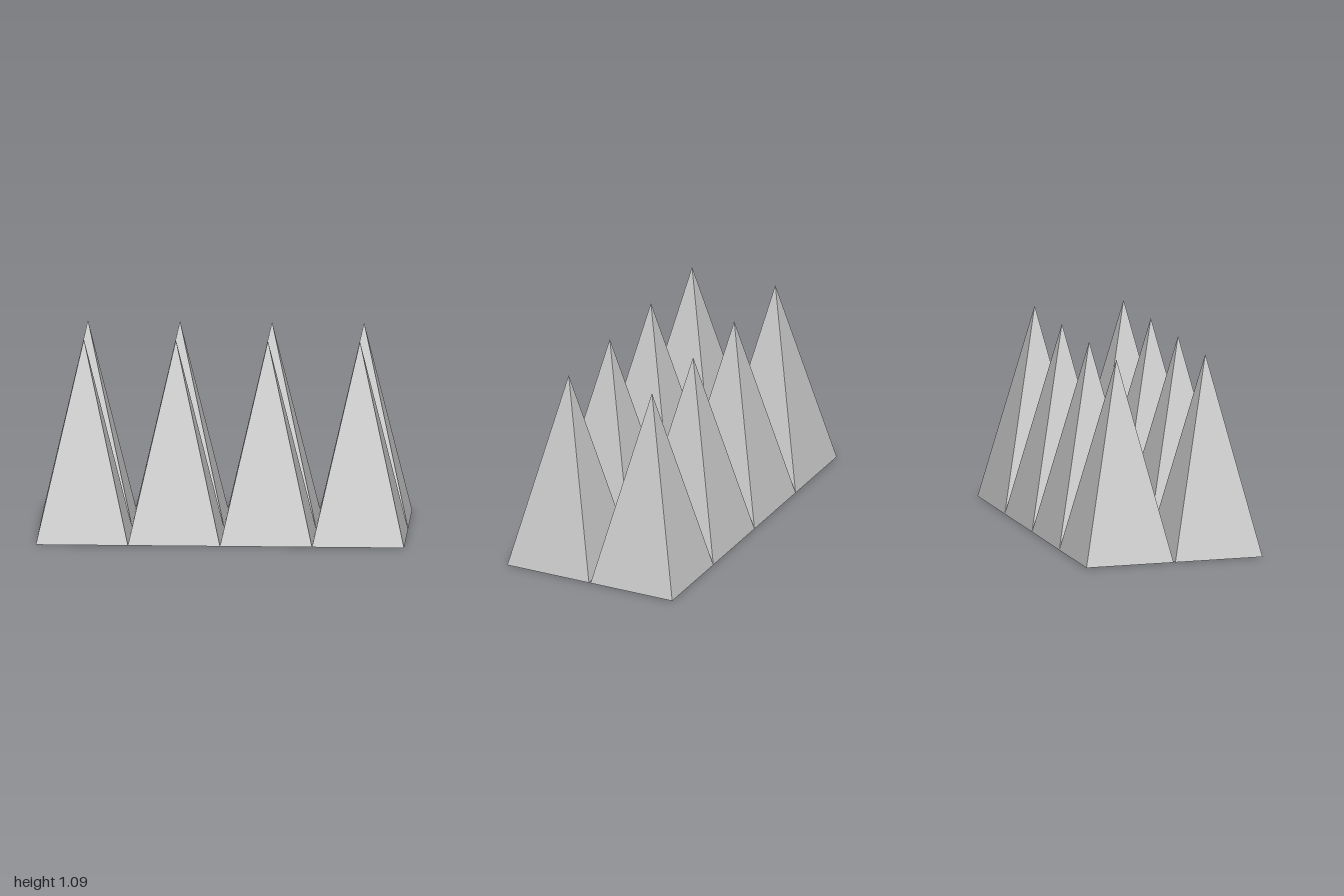
import * as THREE from 'three';

const WIDTH = 0.5, DEPTH = 0.495, HEIGHT = 1.09;
const COLUMNS = 4, ROW_Z = 0.2525;

export function createModel() {
  const model = new THREE.Group();
  model.name = 'spikeField';
  const material = new THREE.MeshStandardMaterial({ color: 0xcccccc, flatShading: true });

  // Four-sided spike with a closed base, its sides square to the axes
  const spike = new THREE.ConeGeometry(Math.SQRT1_2, HEIGHT, 4, 1, false, Math.PI / 4);
  spike.scale(WIDTH, 1, DEPTH);
  spike.translate(0, HEIGHT / 2, 0);

  // Two rows with a narrow gap between them
  for (const [rowName, z] of [['frontRow', ROW_Z], ['backRow', -ROW_Z]]) {
    const row = new THREE.Group();
    row.name = rowName;
    row.position.z = z;
    for (let i = 0; i < COLUMNS; i++) {
      const mesh = new THREE.Mesh(spike, material);
      mesh.name = `spike${i + 1}`;
      mesh.position.x = (i - (COLUMNS - 1) / 2) * WIDTH;
      row.add(mesh);
    }
    model.add(row);
  }
  return model;
}
